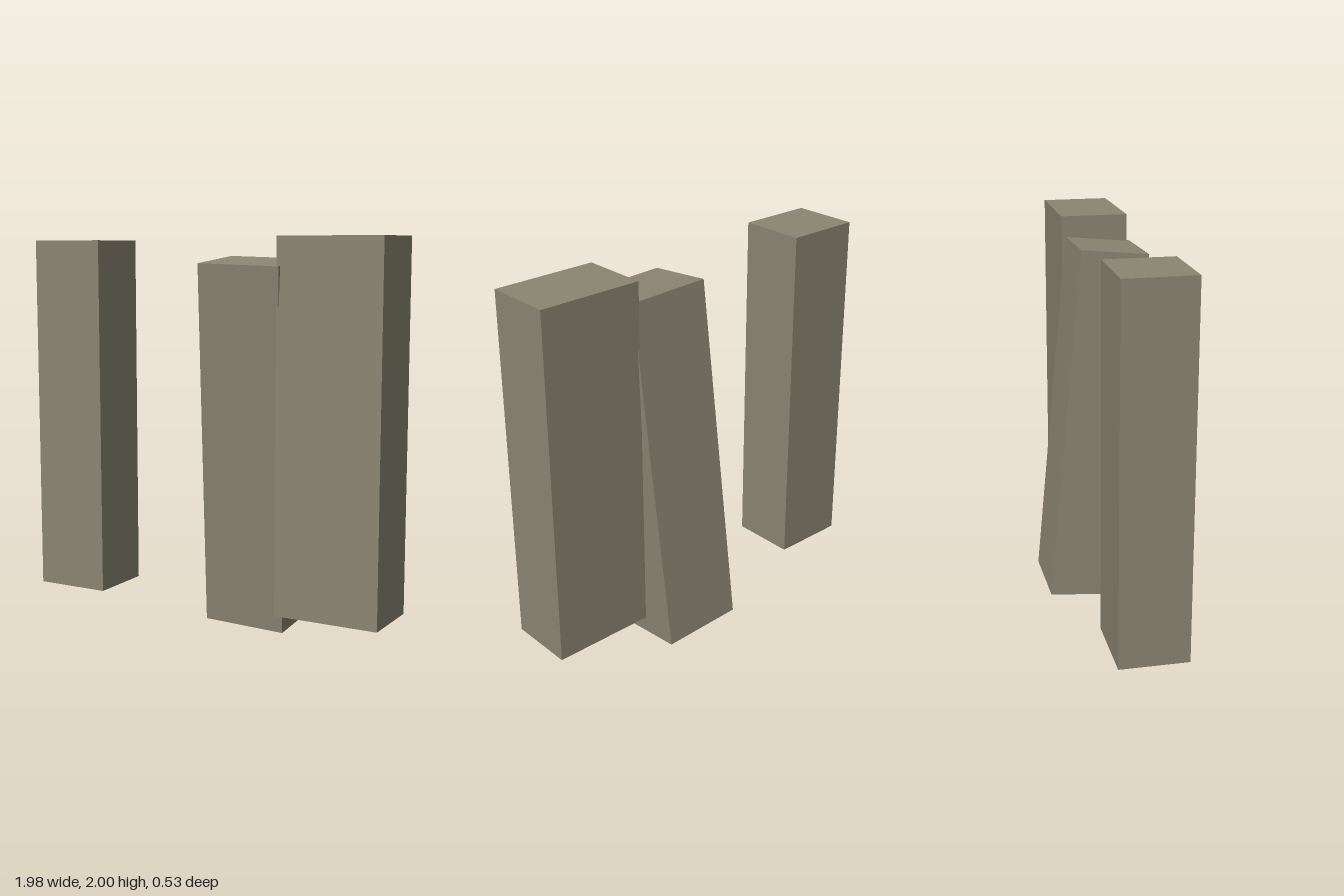
import * as THREE from 'three';

export function createModel() {
  const group = new THREE.Group();
  const stone = new THREE.MeshStandardMaterial({ color: 0x8c8573 });
  stone.name = 'stone';

  const addPillar = (name, size, position, rotation = [0, 0, 0]) => {
    const mesh = new THREE.Mesh(new THREE.BoxGeometry(...size), stone);
    mesh.name = name;
    mesh.position.set(...position);
    mesh.rotation.set(...rotation);
    group.add(mesh);
  };

  // Two upright pillars
  addPillar('rightPillar', [0.4, 1.86, 0.35], [-0.79, 1.053, 0.066]);
  addPillar('leftPillar', [0.545, 1.86, 0.35], [0.713, 1.07, 0.07]);

  // Middle pillar, leaning forward and slightly sideways
  addPillar('leaningPillar', [0.442, 1.865, 0.349], [0.211, 0.952, 0], [0.0985, 0, -0.03]);

  return group;
}
